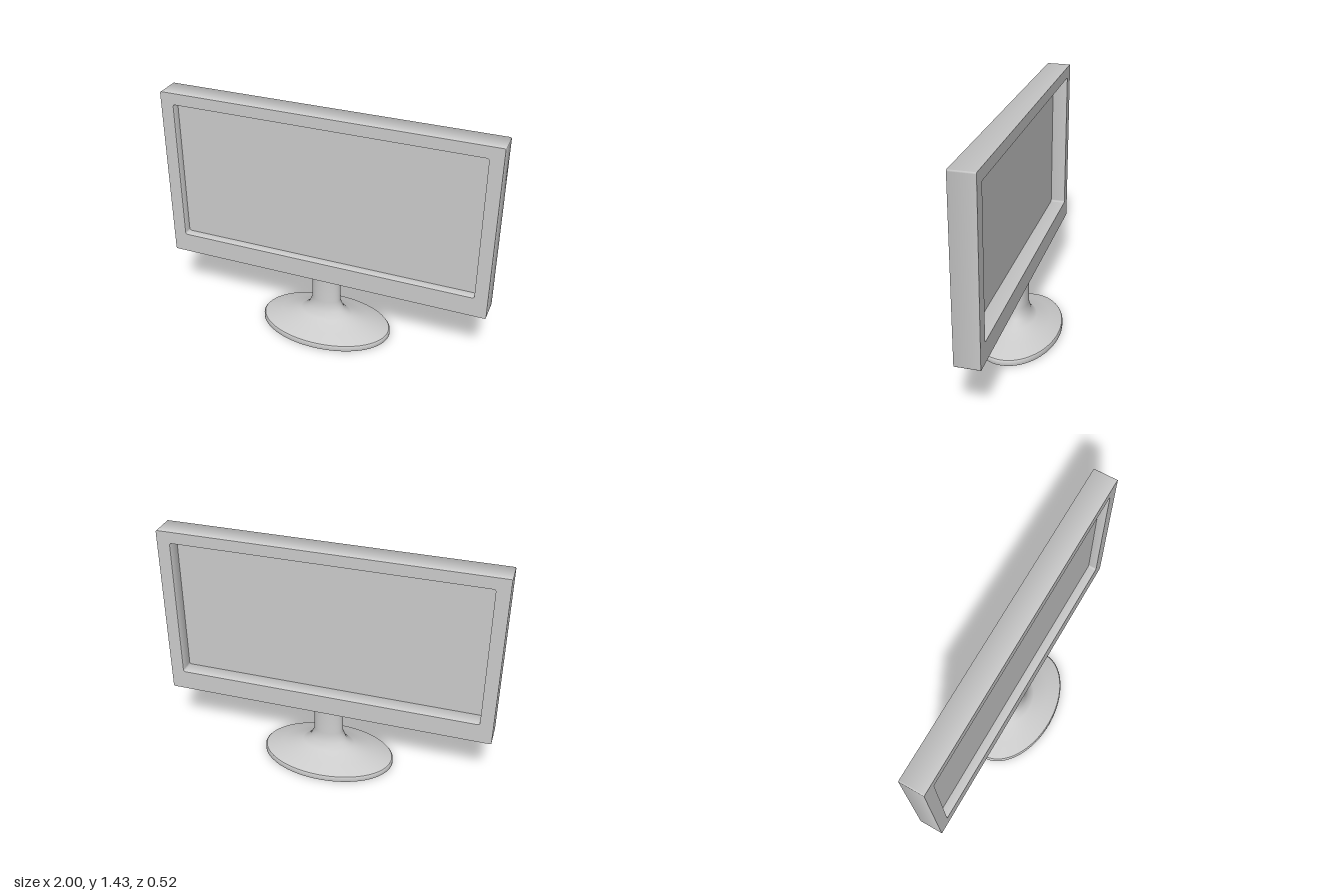
import * as THREE from 'three';

const material = new THREE.MeshStandardMaterial({ color: 0xcccccc, side: THREE.DoubleSide });

// Traces a rounded rectangle onto a Shape or Path
function roundedRect(path, x0, y0, x1, y1, r) {
  path.moveTo(x0 + r, y0);
  path.lineTo(x1 - r, y0);
  path.absarc(x1 - r, y0 + r, r, -Math.PI / 2, 0);
  path.lineTo(x1, y1 - r);
  path.absarc(x1 - r, y1 - r, r, 0, Math.PI / 2);
  path.lineTo(x0 + r, y1);
  path.absarc(x0 + r, y1 - r, r, Math.PI / 2, Math.PI);
  path.lineTo(x0, y0 + r);
  path.absarc(x0 + r, y0 + r, r, Math.PI, Math.PI * 1.5);
  return path;
}

function addMesh(group, name, geometry) {
  const mesh = new THREE.Mesh(geometry, material);
  mesh.name = name;
  group.add(mesh);
  return mesh;
}

export function createModel() {
  const group = new THREE.Group();
  group.name = 'monitor';

  // Bezel: a deep frame, open at the front and back
  const depth = 0.146;
  const outline = roundedRect(new THREE.Shape(), -1, 0.365, 1, 1.435, 0.008);
  outline.holes.push(roundedRect(new THREE.Path(), -0.922, 0.488, 0.922, 1.365, 0.012));
  const frame = new THREE.ExtrudeGeometry(outline, { depth, bevelEnabled: false, curveSegments: 4 });
  frame.translate(0, 0, -depth / 2);
  // Lean the side normals outward so the edges shade softly
  const pos = frame.attributes.position, normal = frame.attributes.normal;
  for (let i = 0; i < normal.count; i++) {
    if (Math.abs(normal.getZ(i)) < 0.1) normal.setZ(i, Math.sign(pos.getZ(i)) * 0.6);
  }
  frame.normalizeNormals();
  addMesh(group, 'bezel', frame);

  // Screen: one thin sheet set inside the frame, nearer the front
  const screen = addMesh(group, 'screen', new THREE.PlaneGeometry(1.85, 0.885));
  screen.position.set(0, 0.9265, 0.02);

  // Stand: oval foot flowing into the neck, turned and then squashed in z
  const parts = {
    footUnderside: [[0, 0], [0.405, 0]],
    footRim: [[0.405, 0], [0.41, 0.006], [0.41, 0.028], [0.403, 0.036]],
    neck: [[0.403, 0.036], [0.29, 0.07], [0.165, 0.105], [0.115, 0.14], [0.09, 0.2], [0.09, 0.38]],
  };
  const stand = new THREE.Group();
  stand.name = 'stand';
  for (const [name, points] of Object.entries(parts)) {
    addMesh(stand, name, new THREE.LatheGeometry(points.map(([x, y]) => new THREE.Vector2(x, y)), 64));
  }
  stand.scale.z = 0.634;
  group.add(stand);

  return group;
}
